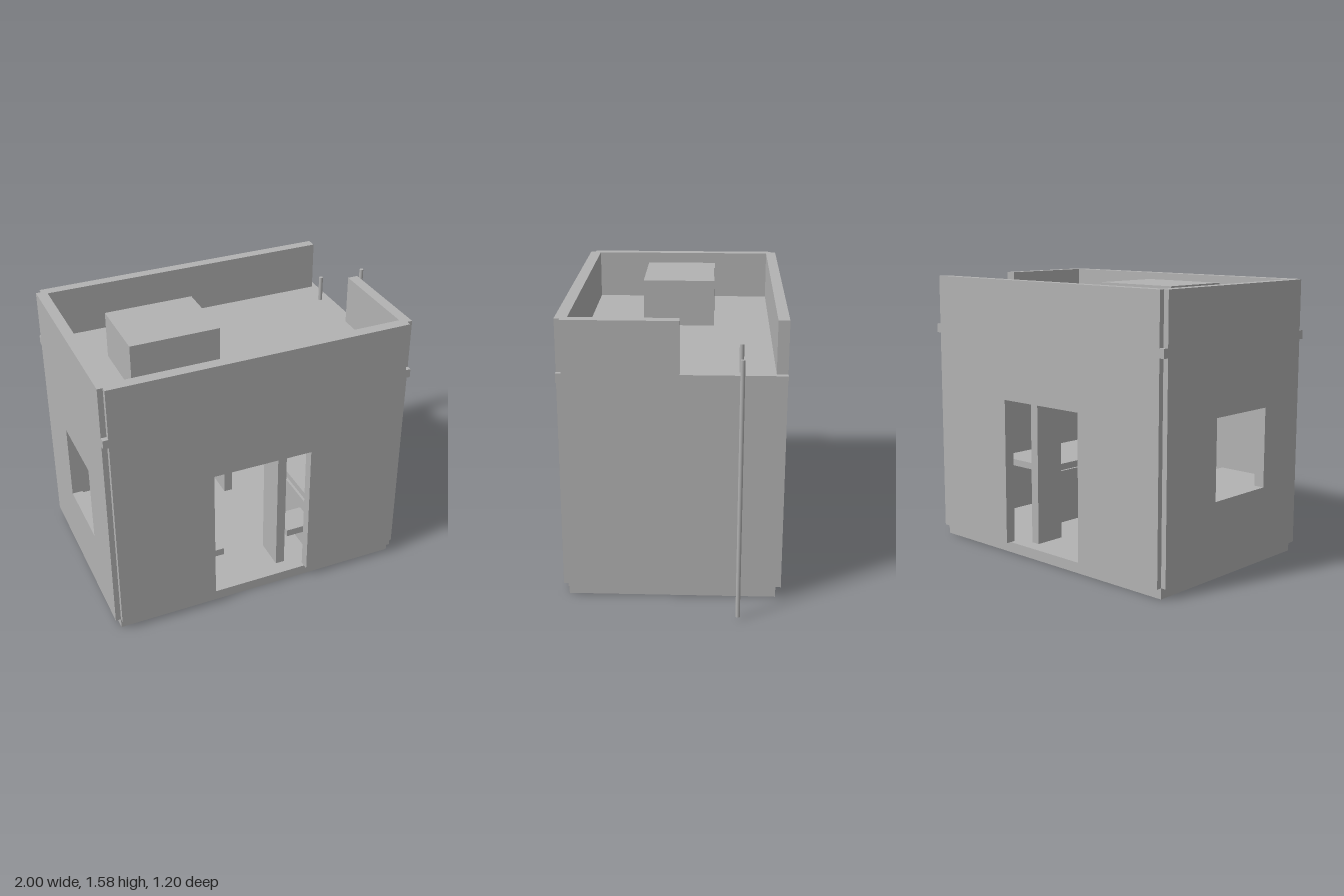
import * as THREE from 'three';

const CX = -0.115; // middle of the house in x

export function createModel() {
  const model = new THREE.Group();
  model.name = 'smallFlatRoofHouse';
  const grey = new THREE.MeshStandardMaterial({ color: 0xb2b2b2 });
  grey.name = 'plaster grey';

  const add = (name, geometry) => {
    const mesh = new THREE.Mesh(geometry, grey);
    mesh.name = name;
    model.add(mesh);
    return mesh;
  };

  // Box given by its limits on each axis
  const box = (name, [x0, x1], [y0, y1], [z0, z1]) => {
    const mesh = add(name, new THREE.BoxGeometry(x1 - x0, y1 - y0, z1 - z0));
    mesh.position.set((x0 + x1) / 2, (y0 + y1) / 2, (z0 + z1) / 2);
    return mesh;
  };

  const rectangle = (Type, a0, a1, b0, b1) => new Type([
    new THREE.Vector2(a0, b0), new THREE.Vector2(a1, b0),
    new THREE.Vector2(a1, b1), new THREE.Vector2(a0, b1),
  ]);

  const pipe = (name, x, z, y0, y1) => {
    const mesh = add(name, new THREE.CylinderGeometry(0.012, 0.012, y1 - y0, 16));
    mesh.position.set(x, (y0 + y1) / 2, z);
  };

  // Floor and roof slabs
  box('floorSlab', [-0.97, 0.74], [0, 0.06], [-0.57, 0.57]);
  box('roofSlab', [-1, 0.77], [1.24, 1.29], [-0.6, 0.6]);

  // Front and back walls with a doorway cut up from the floor
  const doorWall = new THREE.Shape([
    [-0.97, 0.06], [-0.405, 0.06], [-0.405, 0.9], [0.175, 0.9],
    [0.175, 0.06], [0.74, 0.06], [0.74, 1.24], [-0.97, 1.24],
  ].map(([x, y]) => new THREE.Vector2(x, y)));
  for (const [name, z] of [['frontWall', 0.54], ['backWall', -0.6]]) {
    add(name, new THREE.ExtrudeGeometry(doorWall, { depth: 0.06, bevelEnabled: false })).position.z = z;
  }

  // Side walls, the right one with a window
  box('leftWall', [0.71, 0.77], [0.06, 1.24], [-0.57, 0.57]);
  const windowWall = rectangle(THREE.Shape, -0.57, 0.57, 0.06, 1.24);
  windowWall.holes.push(rectangle(THREE.Path, -0.26, 0.17, 0.44, 0.89));
  const rightWall = add('rightWall', new THREE.ExtrudeGeometry(windowWall, { depth: 0.06, bevelEnabled: false }));
  rightWall.rotation.y = Math.PI / 2;
  rightWall.position.x = -1;

  // Parapet, open at the back left corner
  const parapet = [1.29, 1.575];
  box('frontParapet', [-0.97, 0.74], parapet, [0.535, 0.6]);
  box('backParapet', [-0.97, 0.74], parapet, [-0.6, -0.54]);
  box('rightParapet', [-1, -0.94], parapet, [-0.57, 0.57]);
  box('leftParapet', [0.71, 0.77], parapet, [-0.04, 0.57]);

  // Roof box and pipes
  box('roofTank', [-0.71, -0.2], [1.29, 1.56], [-0.21, 0.205]);
  pipe('downPipe', 0.985, -0.36, 0.015, 1.44);
  pipe('ventPipe', 0.705, -0.36, 1.29, 1.44);

  // Inner dividers just inside each doorway
  for (const side of [-1, 1]) {
    const z = side > 0 ? [0.3, 0.485] : [-0.485, -0.3];
    box('divider', [0.03, 0.083], [0.06, 1.24], z);
  }

  // Counters and low seats mirrored about the middle of the house
  for (const side of [-1, 1]) {
    const span = (a, b) => [CX + side * a, CX + side * b].sort((p, q) => p - q);
    box('counterPanel', span(0.37, 0.415), [0.06, 0.385], [-0.17, 0.54]);
    box('counterTop', span(0.385, 0.825), [0.385, 0.425], [-0.177, 0.54]);
    box('seat', span(0.2, 0.37), [0.267, 0.31], [0.34, 0.51]);
  }

  return model;
}
